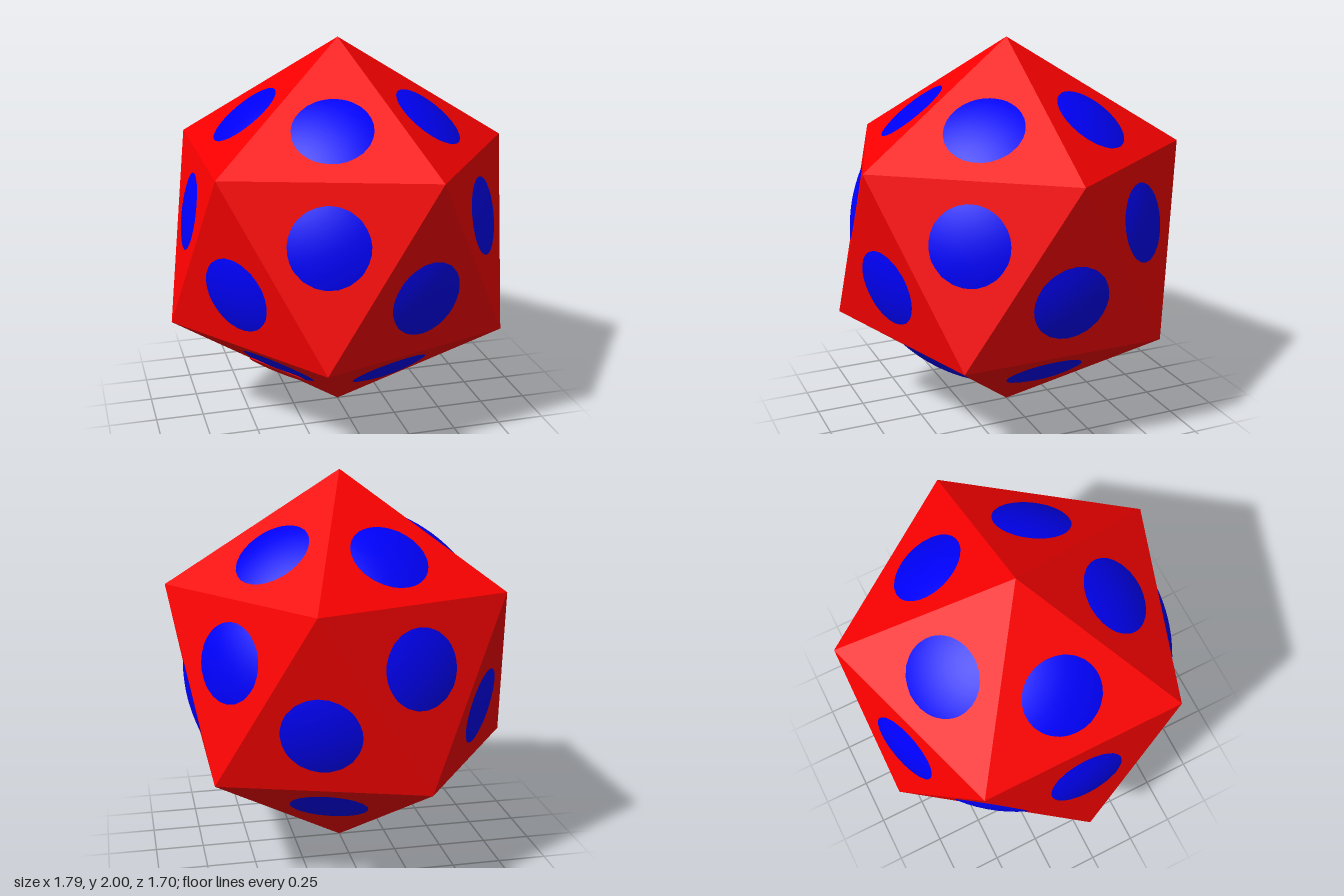
import * as THREE from 'three';

// Faceted twenty-sided solid from two five-point rings and two apexes
function solidGeometry() {
  const ringY = 1 / Math.sqrt(5), ringR = 2 / Math.sqrt(5);
  const ring = (y, turn) => Array.from({ length: 5 }, (_, i) => {
    const a = (i * 2 * Math.PI) / 5 + turn;
    return new THREE.Vector3(ringR * Math.cos(a), y, ringR * Math.sin(a));
  });
  const upper = ring(ringY, 0);
  const lower = ring(-ringY, Math.PI / 5);
  const top = new THREE.Vector3(0, 1, 0), bottom = new THREE.Vector3(0, -1, 0);
  const points = [];
  for (let i = 0; i < 5; i++) {
    const j = (i + 1) % 5;
    points.push(top, upper[j], upper[i]);
    points.push(upper[i], upper[j], lower[i]);
    points.push(upper[j], lower[j], lower[i]);
    points.push(bottom, lower[i], lower[j]);
  }
  const geometry = new THREE.BufferGeometry().setFromPoints(points);
  geometry.computeVertexNormals();
  return geometry;
}

export function createModel() {
  const model = new THREE.Group();
  model.name = 'solidWithSphere';
  const red = new THREE.MeshStandardMaterial({ color: 0xff0000 });
  const blue = new THREE.MeshStandardMaterial({ color: 0x0000ff });

  const body = new THREE.Group();
  body.name = 'body';
  body.position.y = 1;
  model.add(body);

  const solid = new THREE.Mesh(solidGeometry(), red);
  solid.name = 'icosahedron';
  body.add(solid);

  // Sphere a little larger than the inscribed one, so a cap shows on each face
  const sphere = new THREE.Mesh(new THREE.SphereGeometry(0.819, 96, 64), blue);
  sphere.name = 'sphere';
  body.add(sphere);

  // Slim red lens set into one of the lower caps
  const normal = new THREE.Vector3(-0.491, -0.795, 0.357).normalize();
  const along = new THREE.Vector3(0.96, -0.27, 0.71).projectOnPlane(normal).normalize();
  const across = new THREE.Vector3().crossVectors(normal, along);
  const lens = new THREE.Mesh(new THREE.SphereGeometry(1, 32, 16), red);
  lens.name = 'lensInlay';
  lens.quaternion.setFromRotationMatrix(new THREE.Matrix4().makeBasis(along, across, normal));
  lens.scale.set(0.16, 0.08, 0.012);
  lens.position.copy(normal).multiplyScalar(0.813);
  body.add(lens);

  return model;
}
